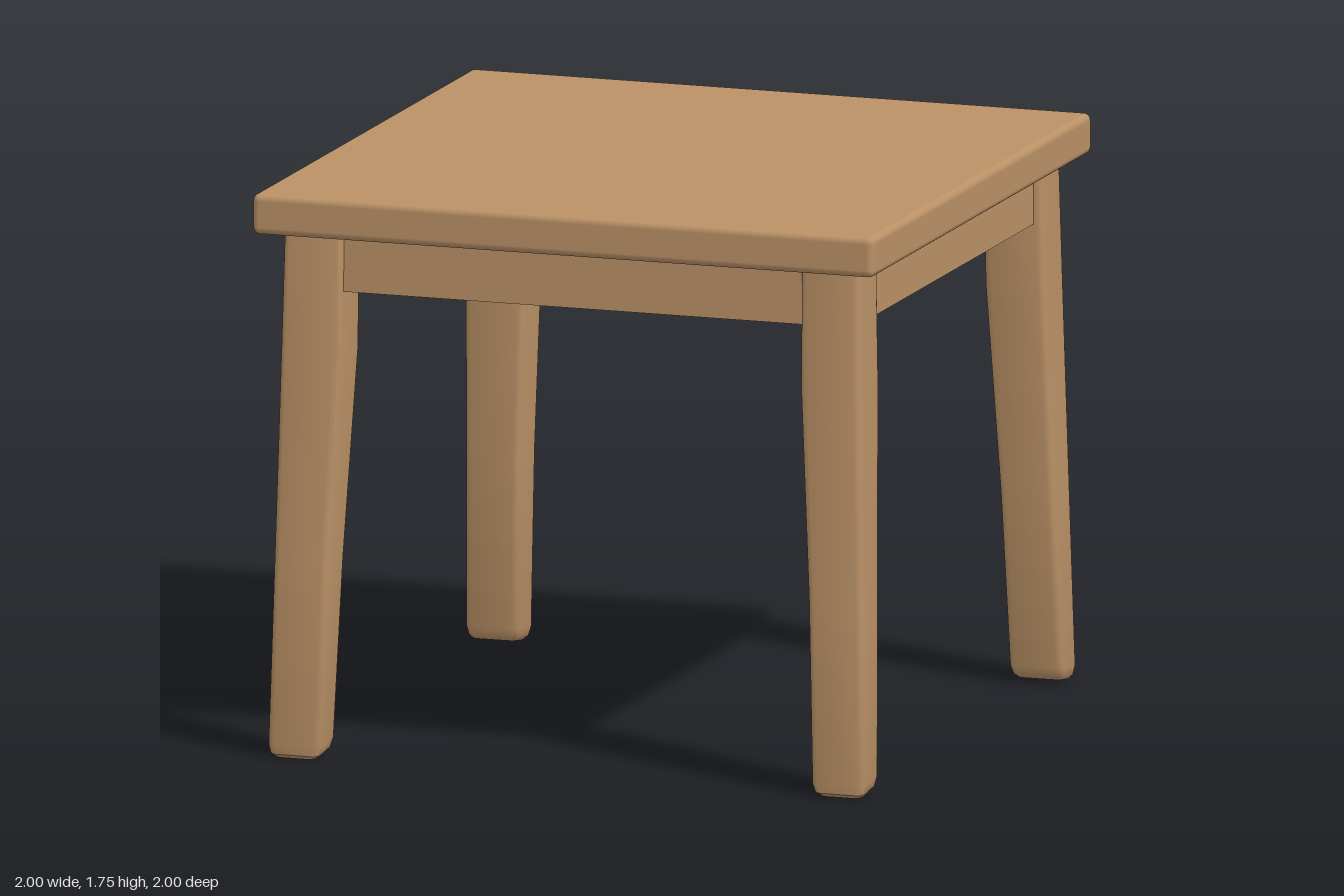
import * as THREE from 'three';
import { toCreasedNormals } from 'three/addons/utils/BufferGeometryUtils.js';
import { RoundedBoxGeometry } from 'three/addons/geometries/RoundedBoxGeometry.js';

// Leg sections: y, inner x, outer x, inner z, outer z, corner radius
const LEG_SECTIONS = [
  [0.0, 0.81, 0.945, 0.85, 0.957, 0.025],
  [0.012, 0.796, 0.956, 0.839, 0.971, 0.025],
  [0.04, 0.789, 0.961, 0.832, 0.974, 0.022],
  [0.6, 0.773, 0.947, 0.793, 0.957, 0.02],
  [1.25, 0.741, 0.932, 0.747, 0.936, 0.018],
  [1.63, 0.738, 0.925, 0.745, 0.922, 0.018],
];

// Lofts rounded-square rings into a tapered leg for the corner (sx, sz)
function legGeometry(sx, sz) {
  const positions = [], index = [], steps = 3, n = 4 * (steps + 1);
  for (const [y, x0, x1, z0, z1, r] of LEG_SECTIONS) {
    const corners = [[x1 - r, z1 - r], [x0 + r, z1 - r], [x0 + r, z0 + r], [x1 - r, z0 + r]];
    corners.forEach(([cx, cz], c) => {
      for (let i = 0; i <= steps; i++) {
        const a = (c + i / steps) * Math.PI / 2;
        const x = cx + r * Math.cos(a), z = cz + r * Math.sin(a);
        // the foot is cut square to the splayed leg, so its inner edge sits higher
        const lift = y < 0.1 ? 0.015 * (z1 - z) / (z1 - z0) : 0;
        positions.push(sx * x, y + lift, sz * z);
      }
    });
  }
  const flip = sx * sz < 0;
  const tri = (a, b, c) => (flip ? index.push(a, c, b) : index.push(a, b, c));
  const last = LEG_SECTIONS.length - 1;
  for (let k = 0; k < last; k++) {
    for (let i = 0; i < n; i++) {
      const j = (i + 1) % n, a = k * n + i, b = k * n + j;
      tri(a, a + n, b);
      tri(b, a + n, b + n);
    }
  }
  for (let i = 1; i < n - 1; i++) {
    tri(0, i, i + 1);
    tri(last * n, last * n + i + 1, last * n + i);
  }
  const geometry = new THREE.BufferGeometry();
  geometry.setAttribute('position', new THREE.Float32BufferAttribute(positions, 3));
  geometry.setIndex(index);
  return toCreasedNormals(geometry, 0.7);
}

export function createModel() {
  const wood = new THREE.MeshStandardMaterial({ color: 0xba9166 });
  wood.name = 'wood';
  const paleWood = new THREE.MeshStandardMaterial({ color: 0xc6b09a });
  paleWood.name = 'paleWood';
  const grey = new THREE.MeshStandardMaterial({ color: 0xd2cec8 });
  grey.name = 'greyUnderside';

  const table = new THREE.Group();
  table.name = 'table';
  const add = (name, geometry, material, x = 0, y = 0, z = 0) => {
    const mesh = new THREE.Mesh(geometry, material);
    mesh.name = name;
    mesh.position.set(x, y, z);
    table.add(mesh);
  };

  // Top slab with softened edges
  add('tabletop', new RoundedBoxGeometry(2, 0.126, 2, 3, 0.022), wood, 0, 1.687, 0);

  // Grey panel lining the underside between the aprons
  add('undersidePanel', new THREE.BoxGeometry(1.62, 0.008, 1.62), grey, 0, 1.621, 0);

  // Four splayed legs
  for (const sx of [1, -1]) {
    for (const sz of [1, -1]) {
      const name = (sz > 0 ? 'front' : 'back') + (sx > 0 ? 'Left' : 'Right') + 'Leg';
      add(name, legGeometry(sx, sz), wood);
    }
  }

  // Apron rails; the side rails have a pale inner face
  const height = 0.185, thick = 0.1, offset = 0.85, y = 1.538;
  for (const s of [1, -1]) {
    add(s > 0 ? 'frontApron' : 'backApron',
      new THREE.BoxGeometry(1.56, height, thick), wood, 0, y, s * offset);
    const faces = Array(6).fill(wood);
    faces[s > 0 ? 1 : 0] = paleWood;
    add(s > 0 ? 'leftApron' : 'rightApron',
      new THREE.BoxGeometry(thick, height, 1.56), faces, s * offset, y, 0);
  }
  return table;
}
